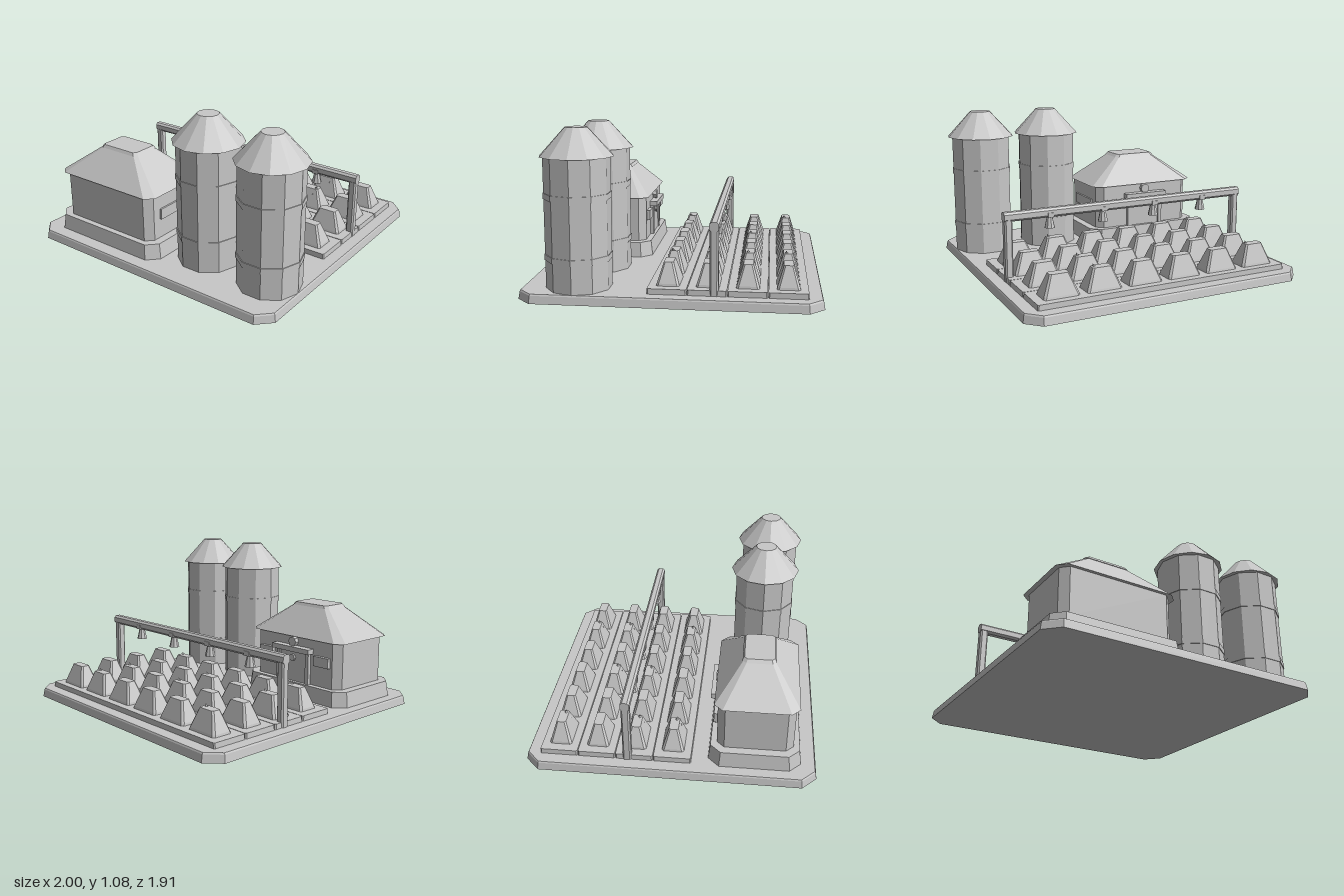
import * as THREE from 'three';

const grey = new THREE.MeshStandardMaterial({ color: 0xc8c8c8, flatShading: true });
grey.name = 'concrete grey';

// Outline of a rectangle with cut corners, counter-clockwise from above
function ringPoints([y, hx, hz, c]) {
  return [[-hx + c, hz], [hx - c, hz], [hx, hz - c], [hx, -hz + c],
    [hx - c, -hz], [-hx + c, -hz], [-hx, -hz + c], [-hx, hz - c]]
    .map(([x, z]) => new THREE.Vector3(x, y, z));
}

// Closed solid through rings of [y, halfX, halfZ, cornerCut], from bottom to top
function loft(rings) {
  const loops = rings.map(ringPoints);
  const tris = [];
  for (let i = 0; i < loops.length - 1; i++) {
    for (let k = 0; k < 8; k++) {
      const n = (k + 1) % 8, a = loops[i], b = loops[i + 1];
      tris.push(a[k], a[n], b[n], a[k], b[n], b[k]);
    }
  }
  const bottom = loops[0], top = loops[loops.length - 1];
  for (let k = 1; k < 7; k++) {
    tris.push(top[0], top[k], top[k + 1], bottom[0], bottom[k + 1], bottom[k]);
  }
  const geo = new THREE.BufferGeometry().setFromPoints(tris);
  geo.computeVertexNormals();
  return geo;
}

function add(parent, name, geo, x = 0, y = 0, z = 0) {
  const mesh = new THREE.Mesh(geo, grey);
  mesh.name = name;
  mesh.position.set(x, y, z);
  parent.add(mesh);
  return mesh;
}

function group(parent, name, x = 0, y = 0, z = 0) {
  const g = new THREE.Group();
  g.name = name;
  g.position.set(x, y, z);
  parent.add(g);
  return g;
}

const box = (w, h, d) => new THREE.BoxGeometry(w, h, d);

function buildHouse(parent) {
  const house = group(parent, 'house', -0.45, 0, 0.55);
  add(house, 'plinth', loft([[0.06, 0.465, 0.303, 0.075], [0.165, 0.45, 0.29, 0.07]]));
  add(house, 'walls', loft([[0.165, 0.393, 0.25, 0.05], [0.49, 0.393, 0.25, 0.05]]));
  add(house, 'roof', loft([[0.488, 0.426, 0.272, 0.055], [0.685, 0.155, 0.1, 0.02]]));
  add(house, 'roofCap', loft([[0.68, 0.168, 0.11, 0.025], [0.7, 0.148, 0.098, 0.02]]));

  // Entrance on the back wall
  add(house, 'door', box(0.24, 0.22, 0.02), 0, 0.275, -0.255);
  for (const s of [-1, 1]) {
    add(house, 'doorPost', box(0.03, 0.22, 0.03), s * 0.135, 0.275, -0.26);
    add(house, 'backWindow', box(0.13, 0.07, 0.03), s * 0.26, 0.345, -0.26);
  }
  add(house, 'canopy', box(0.345, 0.035, 0.06), 0, 0.403, -0.275);
  for (const [y, r] of [[0.45, 0.035], [0.335, 0.025]]) {
    const disc = add(house, 'roundLamp', new THREE.CylinderGeometry(r, r, 0.03, 8), 0, y, -0.265);
    disc.rotation.x = Math.PI / 2;
  }
  // Window on the wall facing the silos
  add(house, 'sideWindow', box(0.025, 0.075, 0.28), 0.393, 0.337, 0);
}

// Ten-sided drum with a corner towards +x
const drum = (r, h) => new THREE.CylinderGeometry(r, r, h, 10, 1, false, Math.PI / 2);

function buildSilo(parent, x, z) {
  const silo = group(parent, 'silo', x, 0, z);
  add(silo, 'siloBody', drum(0.212, 0.905), 0, 0.4525, 0);
  for (const y of [0.262, 0.653]) add(silo, 'siloBand', drum(0.217, 0.038), 0, y, 0);
  add(silo, 'siloRoof', new THREE.CylinderGeometry(0.072, 0.238, 0.18, 12), 0, 0.99, 0);
}

function buildField(parent) {
  const field = group(parent, 'field', -0.008);
  const sprouting = [[0, 4], [2, 4], [0, 2], [0, 4]];
  const mound = loft([[0.085, 0.12, 0.076, 0.012], [0.11, 0.115, 0.07, 0.014],
    [0.237, 0.063, 0.031, 0.01]]);
  const sprout = new THREE.ConeGeometry(0.035, 0.06, 4);
  sprouting.forEach((cols, row) => {
    const z = -0.737 + row * 0.2505;
    add(field, 'bed', loft([[0.05, 0.899, 0.125, 0.008], [0.095, 0.896, 0.123, 0.008]]), 0, 0, z);
    for (let col = 0; col < 6; col++) {
      const x = -0.717 + col * 0.287;
      add(field, 'cropMound', mound, x, 0, z);
      if (cols.includes(col)) {
        add(field, 'sprout', sprout, x + 0.04, 0.226, z + 0.012).rotation.z = -0.3;
      }
    }
  });
}

function buildGantry(parent) {
  const gantry = group(parent, 'irrigationGantry', -0.01, 0, -0.28);
  for (const s of [-1, 1]) {
    add(gantry, 'gantryPost', loft([[0.06, 0.027, 0.028, 0.01], [0.48, 0.027, 0.028, 0.01]]), s * 0.876);
  }
  const beam = add(gantry, 'gantryBeam',
    loft([[-0.905, 0.031, 0.03, 0.014], [0.905, 0.031, 0.03, 0.014]]), 0, 0.494, 0);
  beam.rotation.z = Math.PI / 2;
  for (let i = 0; i < 4; i++) {
    const x = -0.585 + i * 0.39;
    add(gantry, 'nozzleClamp', box(0.045, 0.03, 0.07), x, 0.48, 0);
    add(gantry, 'nozzle', new THREE.CylinderGeometry(0.018, 0.036, 0.08, 8), x, 0.43, 0);
  }
}

export function createModel() {
  const model = new THREE.Group();
  model.name = 'farmPlot';
  add(model, 'base', loft([[0, 0.992, 0.957, 0.095], [0.05, 0.984, 0.948, 0.09],
    [0.06, 0.979, 0.943, 0.088]]), -0.008, 0, 0);
  buildHouse(model);
  buildSilo(model, 0.26, 0.562);
  buildSilo(model, 0.76, 0.592);
  buildField(model);
  buildGantry(model);
  return model;
}
